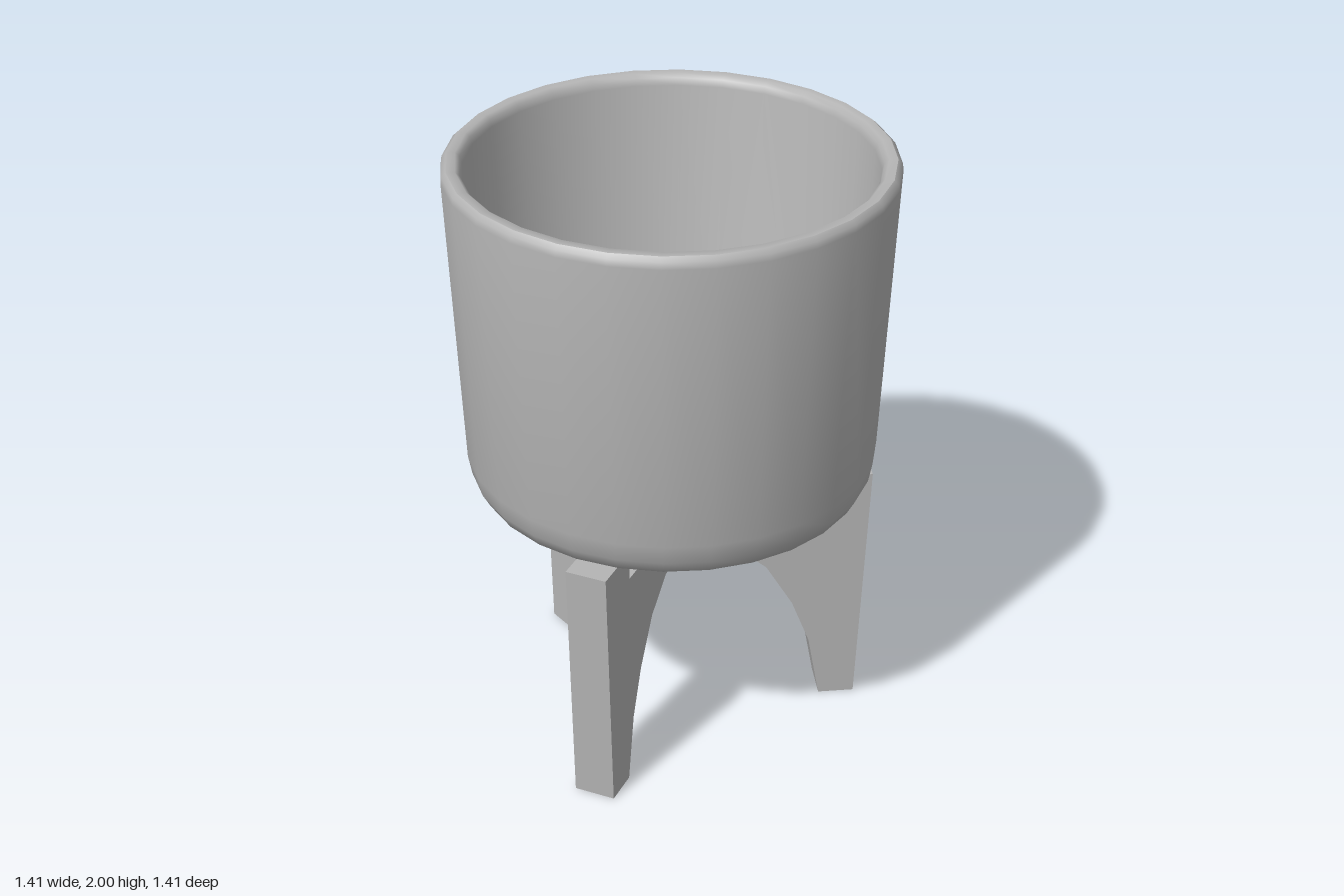
import * as THREE from 'three';
import { toCreasedNormals } from 'three/addons/utils/BufferGeometryUtils.js';

const toPoints = (list) => list.map(([x, y]) => new THREE.Vector2(x, y));

export function createModel() {
  const model = new THREE.Group();
  model.name = 'planterOnStand';
  const grey = new THREE.MeshStandardMaterial({ color: 0xb4b4b4 });
  grey.name = 'matteGrey';

  function add(geometry, name, parent = model) {
    const mesh = new THREE.Mesh(toCreasedNormals(geometry, 0.75), grey);
    mesh.name = name;
    parent.add(mesh);
    return mesh;
  }

  // Pot: foot disc, rounded base, flared wall, rolled rim and hollow inside
  const potProfile = toPoints([
    [0, 0.77], [0.395, 0.77], [0.4, 0.875], [0.58, 0.875],
    [0.625, 0.9], [0.65, 0.945], [0.662, 1.01],
    [0.705, 1.965], [0.702, 1.987], [0.688, 2], [0.66, 2],
    [0.647, 1.988], [0.64, 1.965],
    [0.602, 1.06], [0.585, 1.01], [0.545, 0.98], [0.48, 0.97], [0, 0.97],
  ]);
  add(new THREE.LatheGeometry(potProfile, 28), 'pot');

  // Stand: three flat arched legs that meet at the centre
  const stand = new THREE.Group();
  stand.name = 'stand';
  model.add(stand);
  const width = 0.136;
  const legShape = new THREE.Shape(toPoints([
    [0, 0.655], [0.04, 0.655], [0.2, 0.615], [0.31, 0.525], [0.4, 0.375],
    [0.46, 0.22], [0.5, 0], [0.62, 0], [0.655, 0.865],
    [0.485, 0.865], [0.48, 0.77], [0, 0.77],
  ]));
  ['rightLeg', 'frontLeftLeg', 'backLeftLeg'].forEach((name, i) => {
    const geometry = new THREE.ExtrudeGeometry(legShape, { depth: width, bevelEnabled: false });
    geometry.translate(0, 0, -width / 2);
    add(geometry, name, stand).rotation.y = Math.PI + (i * Math.PI * 2) / 3;
  });

  return model;
}
